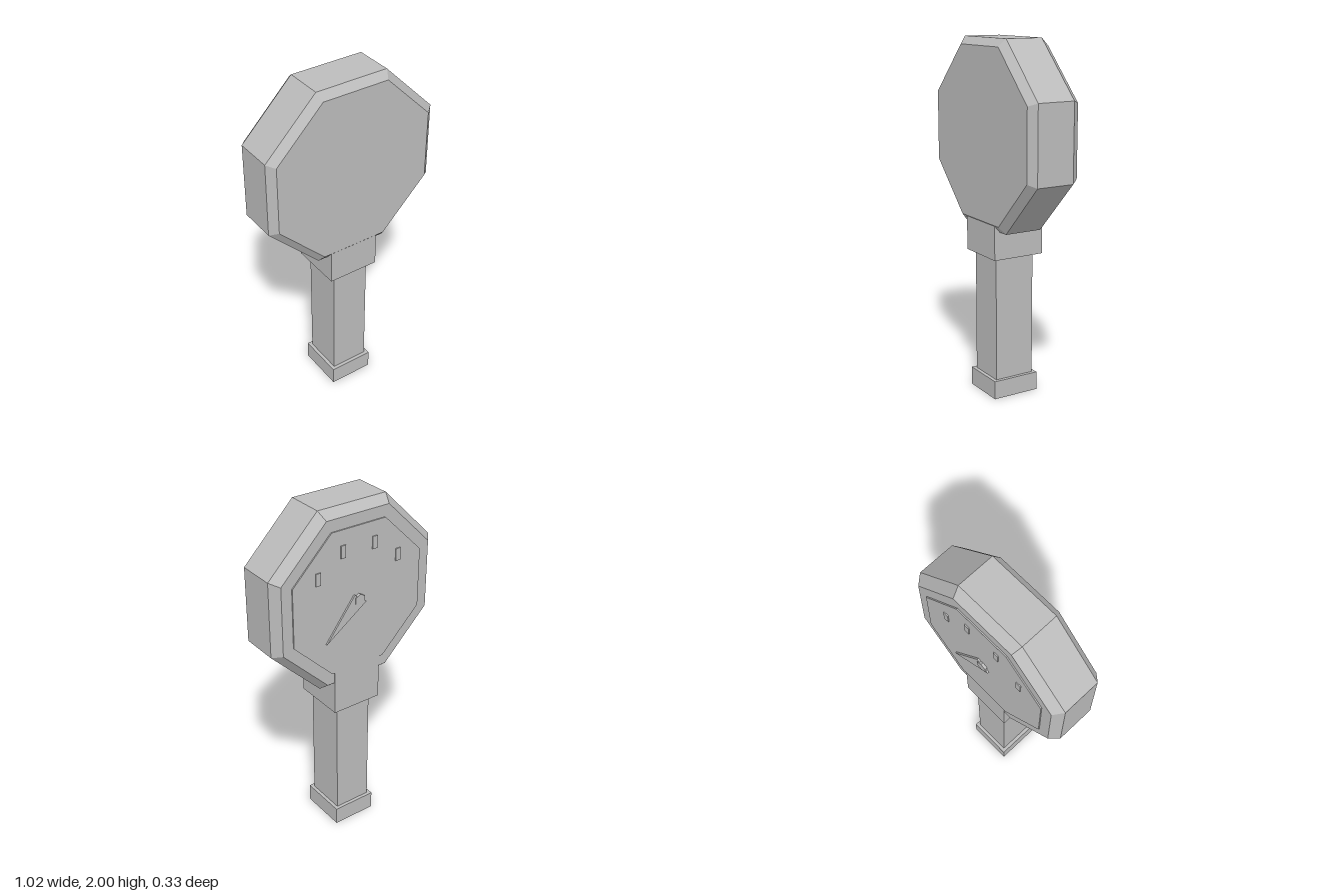
import * as THREE from 'three';

export function createModel() {
  const model = new THREE.Group();
  const grey = new THREE.MeshStandardMaterial({ color: 0xbcbcbc, flatShading: true });
  grey.name = 'plain grey';
  const CENTER = 1.485; // height of the dial centre

  function add(name, geometry) {
    const mesh = new THREE.Mesh(geometry, grey);
    mesh.name = name;
    model.add(mesh);
    return mesh;
  }

  // Box given by its min and max corners
  function box(name, x0, x1, y0, y1, z0, z1) {
    const mesh = add(name, new THREE.BoxGeometry(x1 - x0, y1 - y0, z1 - z0));
    mesh.position.set((x0 + x1) / 2, (y0 + y1) / 2, (z0 + z1) / 2);
    return mesh;
  }

  // Octagonal solid along z from [half width, z] rings, listed back to front
  function octagon(name, rings) {
    const points = rings.map(([half, z]) => new THREE.Vector2(half / Math.cos(Math.PI / 8), z));
    const geometry = new THREE.LatheGeometry(points, 8, Math.PI / 8);
    geometry.rotateX(Math.PI / 2);
    const mesh = add(name, geometry);
    mesh.position.y = CENTER;
    return mesh;
  }

  // Handle: foot, stem and collar
  box('foot', -0.13, 0.13, 0, 0.105, -0.13, 0.148);
  box('stem', -0.11, 0.11, 0.1, 0.82, -0.11, 0.127);
  box('collar', -0.15, 0.15, 0.815, 1.08, -0.146, 0.16);

  // Bevelled octagonal housing
  const housing = octagon('housing', [
    [0, -0.144], [0.47, -0.144], [0.512, -0.092], [0.512, 0.127], [0.47, 0.164], [0, 0.164],
  ]);
  housing.scale.y = 1.006;

  // Dial plate on the back
  octagon('dialPlate', [[0, -0.151], [0.408, -0.151], [0.408, -0.142], [0, -0.142]]);

  // Scale marks, mirrored about the centre
  for (const side of [-1, 1]) {
    for (const [x, y] of [[0.1, 1.775], [0.255, 1.665]]) {
      box('scaleMark', side * x - 0.015, side * x + 0.015, y - 0.035, y + 0.035, -0.157, -0.149);
    }
  }

  // Pointer and its hub
  const pointer = new THREE.Shape([
    new THREE.Vector2(-0.045, 1.455),
    new THREE.Vector2(0.21, 1.275),
    new THREE.Vector2(0.03, 1.513),
  ]);
  add('pointer', new THREE.ExtrudeGeometry(pointer, { depth: 0.011, bevelEnabled: false }))
    .position.z = -0.161;
  const hub = add('hub', new THREE.CylinderGeometry(0.034, 0.034, 0.016, 6));
  hub.rotation.x = Math.PI / 2;
  hub.position.set(-0.002, CENTER - 0.008, -0.158);

  return model;
}
